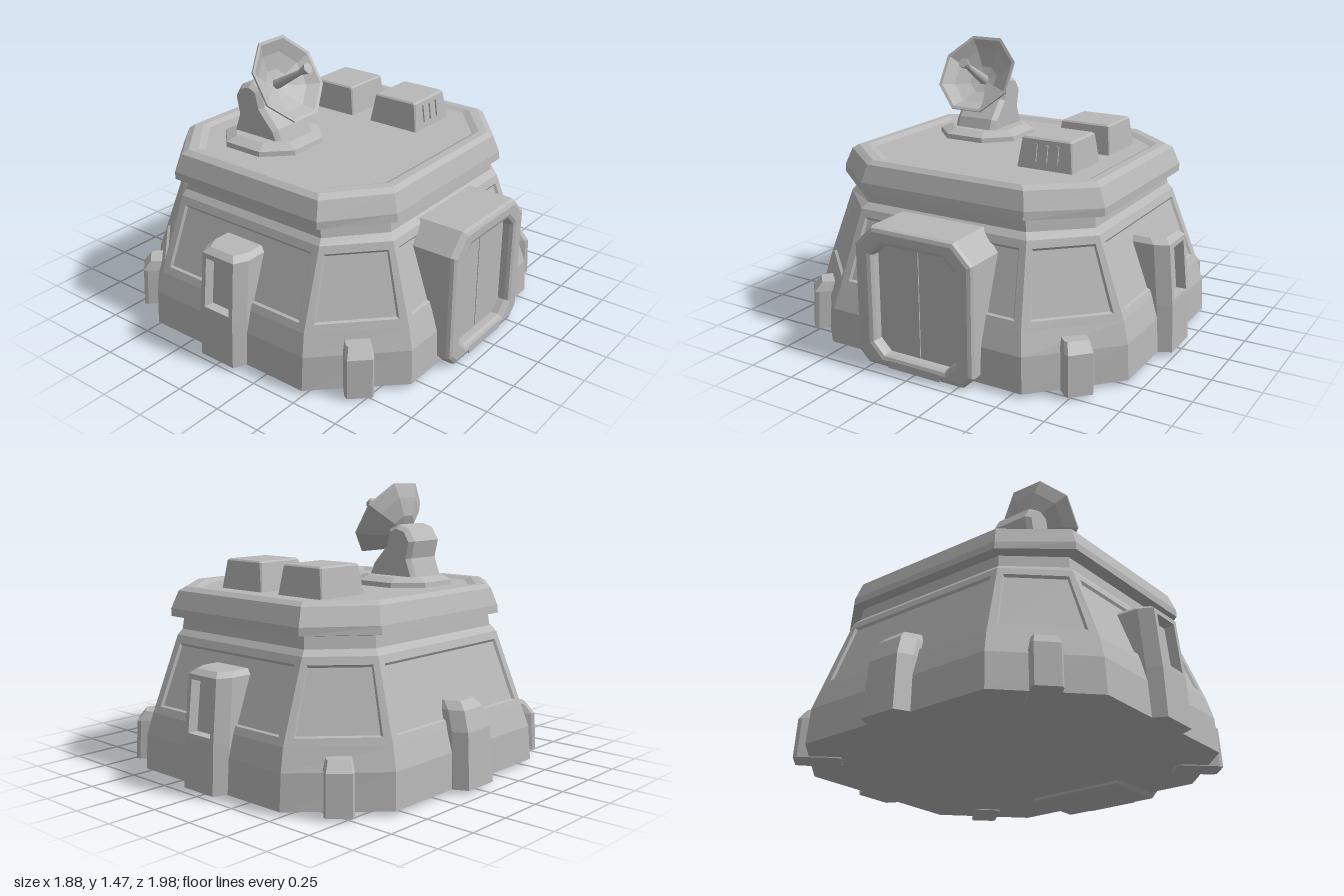
import * as THREE from 'three';

const grey = new THREE.MeshStandardMaterial({ color: 0xb8b8b8 });
grey.name = 'hull grey';

// Octagonal ring: half sizes hx, hz; chamfers begin at cx, cz
const oct = (y, hx, hz, cx, cz) => [
  [-cx, hz], [cx, hz], [hx, cz], [hx, -cz], [cx, -hz], [-cx, -hz], [-hx, -cz], [-hx, cz],
].map(([x, z]) => new THREE.Vector3(x, y, z));

// Faceted skin through rings. inset(ring, side) may return [margin, depth] for a recessed panel
function loft(rings, inset = () => null) {
  const out = [];
  const tri = (...p) => p.forEach((v) => out.push(v.x, v.y, v.z));
  const quad = (a, b, c, d) => { tri(a, b, c); tri(a, c, d); };
  const n = rings[0].length;
  for (let r = 0; r < rings.length - 1; r++) {
    for (let i = 0; i < n; i++) {
      const j = (i + 1) % n;
      const q = [rings[r][i], rings[r][j], rings[r + 1][j], rings[r + 1][i]];
      const panel = inset(r, i);
      if (!panel) { quad(...q); continue; }
      const [margin, depth] = panel;
      const u = margin / q[0].distanceTo(q[1]), v = margin / q[1].distanceTo(q[2]);
      const at = (s, t) => q[0].clone().lerp(q[1], s).lerp(q[3].clone().lerp(q[2], s), t);
      const normal = q[1].clone().sub(q[0]).cross(q[3].clone().sub(q[0])).normalize();
      const ring = (k) => [at(u * k, v * k), at(1 - u * k, v * k), at(1 - u * k, 1 - v * k), at(u * k, 1 - v * k)];
      const edge = ring(1);
      const floor = ring(1.25).map((p) => p.addScaledVector(normal, -depth));
      for (let k = 0; k < 4; k++) {
        const m = (k + 1) % 4;
        quad(q[k], q[m], edge[m], edge[k]);
        quad(edge[k], edge[m], floor[m], floor[k]);
      }
      quad(...floor);
    }
  }
  const cap = (ring, up) => {
    const c = ring.reduce((s, p) => s.add(p), new THREE.Vector3()).divideScalar(n);
    ring.forEach((p, i) => { const o = ring[(i + 1) % n]; up ? tri(c, p, o) : tri(c, o, p); });
  };
  cap(rings[0], false);
  cap(rings[rings.length - 1], true);
  const g = new THREE.BufferGeometry();
  g.setAttribute('position', new THREE.Float32BufferAttribute(out, 3));
  g.computeVertexNormals();
  return g;
}

function add(parent, name, geometry, x = 0, y = 0, z = 0) {
  const mesh = new THREE.Mesh(geometry, grey);
  mesh.name = name;
  mesh.position.set(x, y, z);
  parent.add(mesh);
  return mesh;
}

// Rectangle with cut corners, used for the door surround
function cutRect(path, w, y0, y1, low, high) {
  const pts = [[-w + low, y0], [w - low, y0], [w, y0 + low], [w, y1 - high], [w - high, y1], [-w + high, y1], [-w, y1 - high], [-w, y0 + low]];
  path.setFromPoints(pts.map(([x, y]) => new THREE.Vector2(x, y)));
  path.closePath();
  return path;
}

// Buttress facing +z, from levels of [y, half width, outer z]
function buttress(levels, inset) {
  return loft(levels.map(([y, w, z]) => [
    [-w, 0.6], [-w, z - 0.07], [-w + 0.035, z], [w - 0.035, z], [w, z - 0.07], [w, 0.6],
  ].map(([x, d]) => new THREE.Vector3(x, y, d))), inset);
}

export function createModel() {
  const model = new THREE.Group();
  model.name = 'bunker';

  // Sloped walls on a heavy skirt, with recessed wall panels
  add(model, 'walls', loft([
    oct(0.02, 0.87, 0.925, 0.49, 0.56),
    oct(0.2, 0.86, 0.915, 0.49, 0.55),
    oct(0.31, 0.825, 0.885, 0.475, 0.53),
    oct(0.7, 0.69, 0.735, 0.45, 0.48),
    oct(0.73, 0.66, 0.71, 0.44, 0.46),
    oct(0.82, 0.65, 0.7, 0.43, 0.45),
  ], (r) => (r === 2 ? [0.04, 0.012] : null)));

  // Overhanging roof with a shallow sunken deck
  add(model, 'roof', loft([
    oct(0.79, 0.66, 0.72, 0.43, 0.45),
    oct(0.8, 0.705, 0.765, 0.46, 0.47),
    oct(0.84, 0.7, 0.765, 0.46, 0.47),
    oct(0.93, 0.67, 0.73, 0.44, 0.45),
    oct(0.95, 0.645, 0.7, 0.42, 0.43),
    oct(0.95, 0.605, 0.66, 0.39, 0.41),
    oct(0.935, 0.575, 0.63, 0.37, 0.39),
  ]));

  // Window buttresses front and back, and a plain one on the right side
  const windowBay = buttress([[0.02, 0.14, 0.99], [0.27, 0.14, 0.98], [0.58, 0.135, 0.95], [0.605, 0.11, 0.92]],
    (r, i) => (r === 1 && i === 2 ? [0.025, 0.05] : null));
  add(model, 'frontWindowBay', windowBay);
  add(model, 'backWindowBay', windowBay).rotation.y = Math.PI;
  add(model, 'sideButtress', buttress([[0.02, 0.135, 0.945], [0.3, 0.125, 0.925], [0.4, 0.11, 0.89], [0.44, 0.09, 0.85]]))
    .rotation.y = -Math.PI / 2;

  // Small ribs on the four corners
  for (const sx of [-1, 1]) {
    for (const sz of [-1, 1]) {
      const rib = add(model, 'cornerRib', loft([
        oct(0.015, 0.07, 0.12, 0.06, 0.1), oct(0.22, 0.07, 0.11, 0.06, 0.09), oct(0.27, 0.06, 0.07, 0.05, 0.05),
      ]), sx * 0.655, 0, sz * 0.71);
      rib.rotation.y = Math.atan2(sx * 0.365, sz * 0.38);
    }
  }

  // Door surround, door leaves, seam and threshold on the left side
  const frame = cutRect(new THREE.Shape(), 0.335, 0, 0.72, 0.06, 0.1);
  frame.holes.push(cutRect(new THREE.Path(), 0.235, 0.065, 0.63, 0.06, 0.06));
  const door = new THREE.Group();
  door.name = 'doorway';
  door.rotation.y = Math.PI / 2;
  model.add(door);
  add(door, 'doorSurround', new THREE.ExtrudeGeometry(frame, {
    depth: 0.33, bevelThickness: 0.025, bevelSize: 0.025, bevelOffset: -0.025, bevelSegments: 2,
  }), 0, 0, 0.585);
  for (const s of [-1, 1]) {
    add(door, 'doorLeaf', new THREE.BoxGeometry(0.246, 0.62, 0.08), s * 0.126, 0.345, 0.838);
  }
  add(door, 'doorSeam', new THREE.BoxGeometry(0.01, 0.62, 0.08), 0, 0.345, 0.832);
  add(door, 'threshold', new THREE.BoxGeometry(0.3, 0.04, 0.08), 0, 0.025, 0.9);

  // Two tapered roof vents; the left one has slats on its outer side
  for (const x of [-0.23, 0.185]) {
    const vent = new THREE.Group();
    vent.name = 'roofVent';
    vent.position.set(x, 0, -0.375);
    model.add(vent);
    add(vent, 'ventBox', loft([
      oct(0.93, 0.15, 0.155, 0.145, 0.15), oct(1.08, 0.128, 0.138, 0.12, 0.13),
      oct(1.088, 0.12, 0.13, 0.112, 0.122),
    ]));
    if (x < 0) continue;
    for (const z of [-0.06, 0, 0.06]) {
      add(vent, 'ventSlat', new THREE.BoxGeometry(0.009, 0.09, 0.025), 0.141, 1.015, z).rotation.z = 0.145;
    }
  }

  // Antenna base and leaning pedestal
  const antenna = new THREE.Group();
  antenna.name = 'antenna';
  antenna.position.z = 0.29;
  model.add(antenna);
  add(antenna, 'antennaBase', loft([
    oct(0.93, 0.24, 0.24, 0.11, 0.11), oct(0.96, 0.235, 0.235, 0.11, 0.11), oct(0.985, 0.18, 0.18, 0.09, 0.09),
  ]), -0.21);
  const side = new THREE.Shape([
    [-0.385, 0.96], [-0.06, 0.96], [-0.09, 1.04], [-0.18, 1.14], [-0.2, 1.23], [-0.26, 1.255], [-0.325, 1.235], [-0.365, 1.17], [-0.345, 1.08],
  ].map(([x, y]) => new THREE.Vector2(x, y)));
  add(antenna, 'pedestal', new THREE.ExtrudeGeometry(side, {
    depth: 0.2, bevelThickness: 0.025, bevelSize: 0.02, bevelOffset: -0.02, bevelSegments: 1,
  }), 0, 0, -0.1);

  // Eight-sided dish, aimed up and to the left, with its feed horn
  const dish = new THREE.Group();
  dish.name = 'dish';
  dish.position.set(-0.1, 1.285, 0);
  dish.rotation.z = -Math.atan2(0.854, 0.52);
  antenna.add(dish);
  const bowl = new THREE.LatheGeometry([
    [0, -0.13], [0.09, -0.115], [0.175, -0.06], [0.232, -0.008], [0.232, 0.002], [0.215, 0], [0.16, -0.045], [0.08, -0.085], [0, -0.1],
  ].map(([r, y]) => new THREE.Vector2(r, y)), 8, Math.PI / 8).toNonIndexed();
  bowl.computeVertexNormals();
  add(dish, 'dishBowl', bowl);
  add(dish, 'feedArm', new THREE.CylinderGeometry(0.014, 0.03, 0.22, 6), 0, 0.0, 0);
  add(dish, 'feedHorn', new THREE.CylinderGeometry(0.03, 0.016, 0.06, 6), 0, 0.12, 0);

  return model;
}
